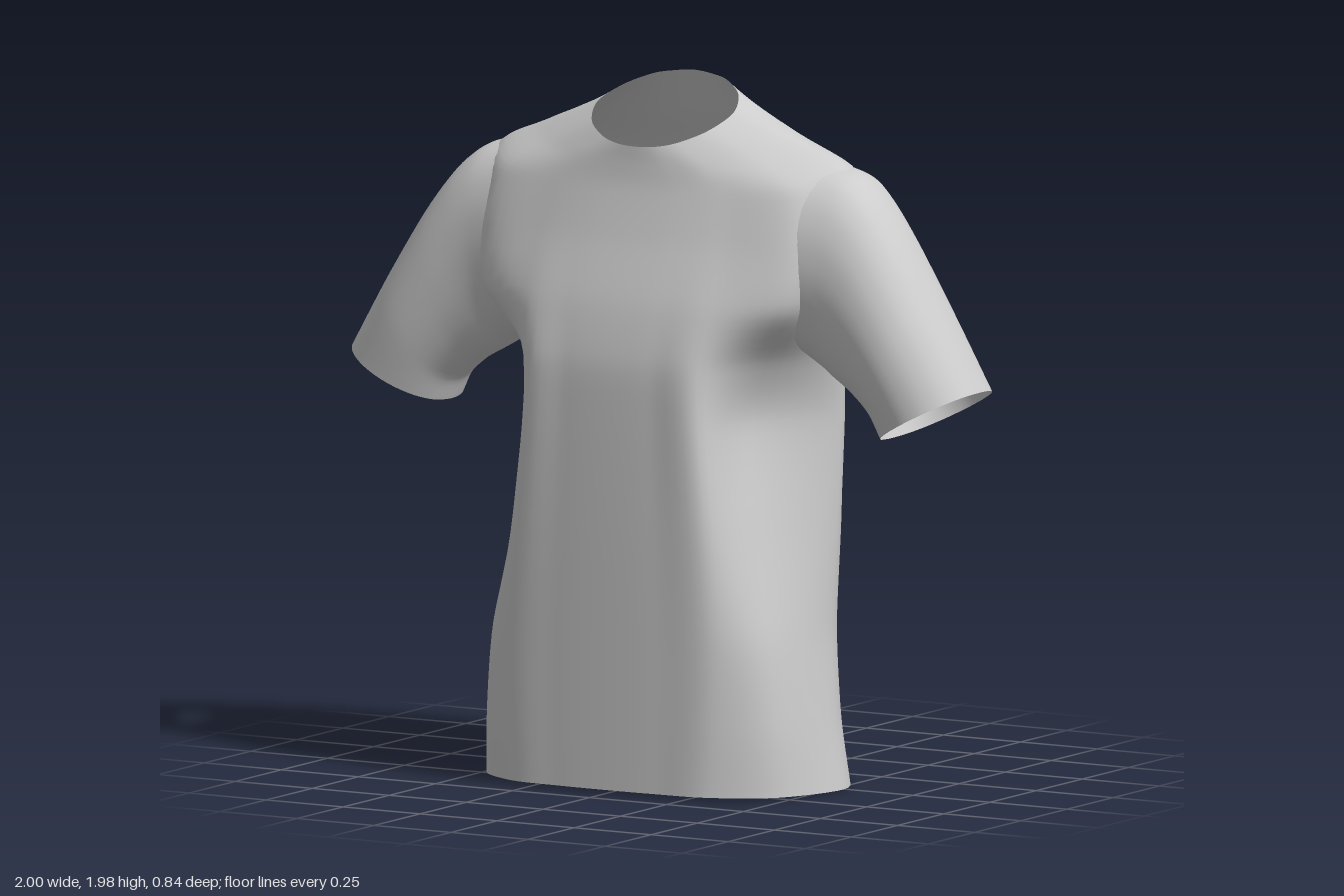
import * as THREE from 'three';

const lerp = THREE.MathUtils.lerp;

// Smooth skin through a stack of closed rings (arrays of Vector3), open at both ends;
// faces whose first corner satisfies isHole are left out
function loft(rings, around, along, material, name, isHole = () => false) {
  const dense = rings.map((r) => {
    const c = new THREE.CatmullRomCurve3(r, true, 'catmullrom', 0.45);
    return Array.from({ length: around }, (_, j) => c.getPoint(j / around));
  });
  const columns = dense[0].map((_, j) =>
    new THREE.CatmullRomCurve3(dense.map((r) => r[j]), false, 'catmullrom', 0.4));
  const points = [], index = [];
  for (let i = 0; i <= along; i++) {
    for (const c of columns) points.push(c.getPoint(i / along));
  }
  for (let i = 0; i < along; i++) {
    for (let j = 0; j < around; j++) {
      const a = i * around + j, b = i * around + (j + 1) % around;
      if (isHole(points[a])) continue;
      index.push(a, b, b + around, a, b + around, a + around);
    }
  }
  const g = new THREE.BufferGeometry().setFromPoints(points);
  g.setIndex(index);
  g.computeVertexNormals();
  const mesh = new THREE.Mesh(g, material);
  mesh.name = name;
  return mesh;
}

// Torso levels: y at front, side, back; z at front, back; half width; z of side;
// half width of front panel; x, z of front corner; half width of back panel;
// bulge (or fold) of back corner; how far the back panel's edge sits forward of its middle
const LEVELS = [
  [0.02, 0.01, 0.01, 0.415, -0.42, 0.53, 0.0, 0.32, 0.475, 0.265, 0.24, 0.025, 0.065],
  [0.2, 0.2, 0.2, 0.415, -0.4, 0.5, 0.0, 0.33, 0.47, 0.27, 0.26, 0.015, 0.05],
  [0.45, 0.45, 0.45, 0.415, -0.378, 0.475, -0.02, 0.33, 0.445, 0.27, 0.28, 0.005, 0.03],
  [0.75, 0.75, 0.75, 0.415, -0.366, 0.48, -0.04, 0.31, 0.385, 0.235, 0.29, -0.005, 0.02],
  [1.05, 1.05, 1.05, 0.412, -0.355, 0.49, -0.05, 0.285, 0.34, 0.18, 0.31, -0.025, 0.015],
  [1.22, 1.22, 1.22, 0.405, -0.348, 0.505, -0.03, 0.28, 0.39, 0.19, 0.32, -0.02, 0.015],
  [1.38, 1.38, 1.38, 0.37, -0.342, 0.54, 0.0, 0.3, 0.495, 0.245, 0.32, 0.04, 0.02],
  [1.55, 1.56, 1.54, 0.31, -0.315, 0.59, 0.02, 0.3, 0.51, 0.225, 0.3, 0.065, 0.03],
  [1.69, 1.75, 1.71, 0.268, -0.245, 0.57, 0.03, 0.28, 0.475, 0.19, 0.28, 0.045, 0.03],
  [1.76, 1.825, 1.85, 0.255, -0.15, 0.42, 0.05, 0.21, 0.34, 0.165, 0.2, 0.025, 0.025],
  [1.81, 1.9, 1.985, 0.25, -0.07, 0.22, 0.09, 0.12, 0.187, 0.175, 0.12, 0.017, 0.025],
];

function torsoRing([yf, ys, yb, zf, zb, w, zs, fx, cx, cz, bx, fb, drop]) {
  const half = [
    [0, zf], [fx * 0.5, zf - 0.005], [fx, zf - 0.025], [cx, cz], [w, zs],
    [(bx + w) / 2 + fb, (zb + drop + zs) / 2 - fb],
    [bx, zb + drop], [bx * 0.5, zb + drop * 0.3], [0, zb],
  ];
  const pts = half.map(([x, z]) => {
    const [y, zEnd] = z > zs ? [yf, zf] : [yb, zb];
    return new THREE.Vector3(x, lerp(ys, y, ((z - zs) / (zEnd - zs)) ** 1.2), z);
  });
  const mirrored = pts.slice(1, -1).reverse().map((p) => new THREE.Vector3(-p.x, p.y, p.z));
  return [...pts, ...mirrored];
}

// Armhole hidden within the sleeve
const armhole = (p) => Math.abs(p.x) > 0.53 && p.y > 1.36 && p.y < 1.66 && Math.abs(p.z - 0.03) < 0.13;

// Sleeve sections: top x, y; bottom x, y; centre z; half depth
const SLEEVE = [
  [0.46, 1.78, 0.43, 1.25, 0.02, 0.215],
  [0.59, 1.752, 0.52, 1.195, 0.028, 0.197],
  [0.67, 1.69, 0.56, 1.17, 0.04, 0.185],
  [0.76, 1.57, 0.62, 1.135, 0.05, 0.18],
  [0.88, 1.375, 0.685, 1.08, 0.055, 0.18],
  [1.0, 1.17, 0.715, 1.02, 0.053, 0.175],
];

function sleeveRing([tx, ty, bx, by, zc, rz], side) {
  return Array.from({ length: 16 }, (_, k) => {
    const a = side * k * Math.PI / 8;
    const t = (1 - Math.cos(a)) / 2;
    // slightly squared oval
    const s = Math.sign(Math.sin(a)) * Math.abs(Math.sin(a)) ** 0.85;
    return new THREE.Vector3(side * lerp(tx, bx, t), lerp(ty, by, t), zc + rz * s);
  });
}

export function createModel() {
  const shirt = new THREE.Group();
  shirt.name = 'shirt';
  const cloth = new THREE.MeshStandardMaterial({ color: 0xcccccc, side: THREE.DoubleSide });
  cloth.name = 'grey cloth';

  // Body with open hem and neck
  shirt.add(loft(LEVELS.map(torsoRing), 96, 60, cloth, 'body', armhole));

  // Short sleeves, open at the cuff
  for (const [side, name] of [[1, 'leftSleeve'], [-1, 'rightSleeve']]) {
    shirt.add(loft(SLEEVE.map((r) => sleeveRing(r, side)), 48, 25, cloth, name));
  }
  return shirt;
}
